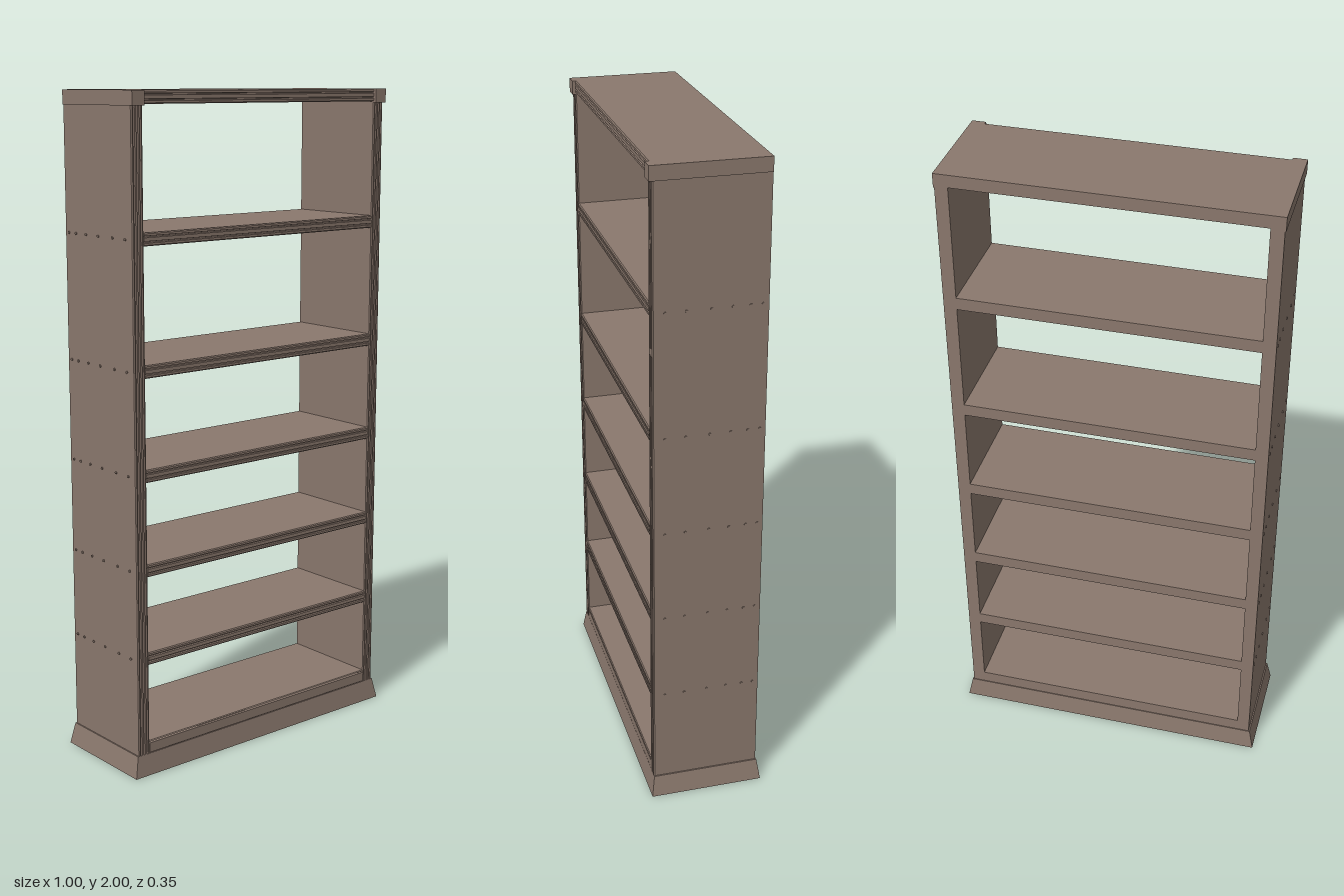
import * as THREE from 'three';

export function createModel() {
  const wood = new THREE.MeshStandardMaterial({ color: 0x8a786d, flatShading: true });
  wood.name = 'brown wood';
  const model = new THREE.Group();
  model.name = 'bookcase';
  const BACK = -0.162, FRONT = 0.165, INNER = 0.443, OUTER = 0.482;

  const add = (name, geometry, x, y, z) => {
    const mesh = new THREE.Mesh(geometry, wood);
    mesh.name = name;
    mesh.position.set(x, y, z);
    model.add(mesh);
    return mesh;
  };

  // Board running along x, with grooves cut along its front edge
  function groovedBoard(length, thickness, grooves) {
    const h = thickness / 2, g = 0.0025, depth = 0.006;
    const shape = new THREE.Shape();
    shape.moveTo(BACK, -h);
    shape.lineTo(FRONT - 0.003, -h);
    shape.lineTo(FRONT, -h + 0.003);
    for (const c of grooves) {
      shape.lineTo(FRONT, c * h - g);
      shape.lineTo(FRONT - depth, c * h - g * 0.6);
      shape.lineTo(FRONT - depth, c * h + g * 0.6);
      shape.lineTo(FRONT, c * h + g);
    }
    shape.lineTo(FRONT, h - 0.003);
    shape.lineTo(FRONT - 0.003, h);
    shape.lineTo(BACK, h);
    const geo = new THREE.ExtrudeGeometry(shape, { depth: length, bevelEnabled: false });
    geo.translate(0, 0, -length / 2);
    return geo.rotateY(-Math.PI / 2);
  }

  // Flared plinth: a box whose upper corners are drawn in
  const base = new THREE.BoxGeometry(1, 0.065, 0.348);
  const p = base.attributes.position;
  for (let i = 0; i < p.count; i++) {
    if (p.getY(i) > 0) {
      p.setX(i, p.getX(i) * 0.972);
      p.setZ(i, p.getZ(i) * 0.945);
    }
  }
  base.computeVertexNormals();
  add('plinth', base, 0, 0.0325, 0);

  // Bottom board, shelves and top board
  add('bottomBoard', groovedBoard(INNER * 2, 0.04, [0.75]), 0, 0.085, 0);
  const shelfHeights = [0.362, 0.632, 0.915, 1.219, 1.593];
  for (const y of shelfHeights) {
    add('shelf', groovedBoard(INNER * 2, 0.038, [-0.4, 0.4]), 0, y, 0);
  }
  add('topBoard', groovedBoard(INNER * 2, 0.038, [-0.4, 0.4]), 0, 1.981, 0);

  // Screw positions along the depth of each shelf end
  const screwDepths = [0.13, 0.07, 0, -0.06, -0.11, -0.145];
  const screw = new THREE.CylinderGeometry(0.004, 0.004, 0.006, 8).rotateZ(Math.PI / 2);

  for (const side of [-1, 1]) {
    // Upright with a fluted front edge
    const upright = groovedBoard(1.895, OUTER - INNER, [-0.55, 0, 0.55]).rotateZ(-Math.PI / 2);
    add('upright', upright, side * (INNER + OUTER) / 2, 0.065 + 1.895 / 2, 0);

    // Slightly proud cap over the end of the top
    add('cornerCap', new THREE.BoxGeometry(0.042, 0.042, 0.336), side * 0.464, 1.979, 0.006);

    // Screw heads in line with the shelves
    for (const y of shelfHeights) {
      for (const z of screwDepths) add('screwHead', screw, side * OUTER, y, z);
    }
  }
  return model;
}
